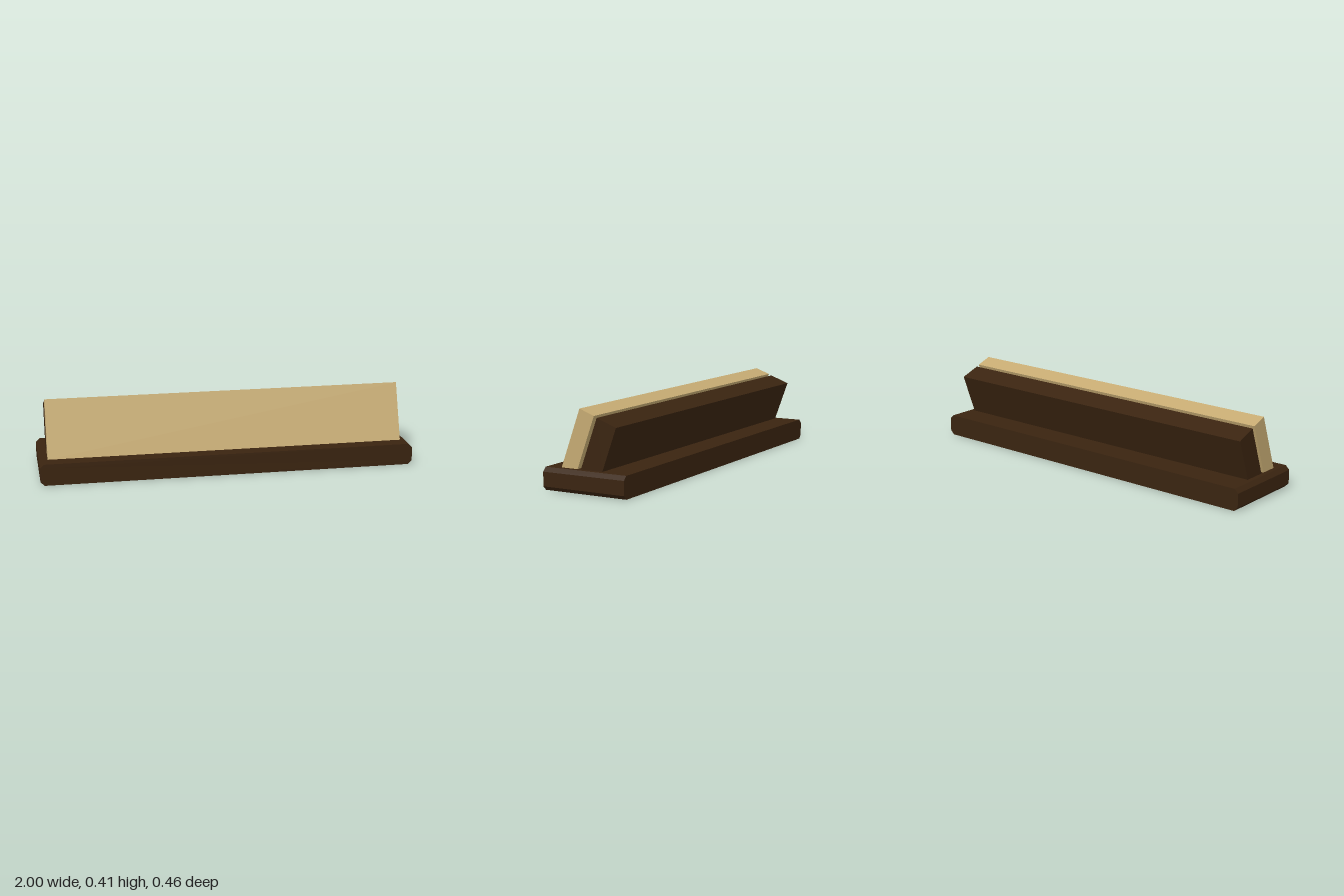
import * as THREE from 'three';

// Extrudes a polygon outline along z, centred on the origin.
function prism(points, depth) {
  const shape = new THREE.Shape(points.map(([x, y]) => new THREE.Vector2(x, y)));
  const geometry = new THREE.ExtrudeGeometry(shape, { depth, bevelEnabled: false });
  return geometry.translate(0, 0, -depth / 2);
}

export function createModel() {
  const model = new THREE.Group();
  const darkWood = new THREE.MeshStandardMaterial({ color: 0x3a2410 });
  darkWood.name = 'dark wood';
  const brass = new THREE.MeshStandardMaterial({ color: 0xc5aa72 });
  brass.name = 'pale brass';

  const add = (name, geometry, material) => {
    const mesh = new THREE.Mesh(geometry, material);
    mesh.name = name;
    model.add(mesh);
  };

  // Base board with chamfered ends
  const top = 0.115, c = 0.021;
  add('base', prism([
    [-1 + c, 0], [1 - c, 0], [1, c], [1, top - c],
    [1 - c, top], [-1 + c, top], [-1, top - c], [-1, c],
  ], 0.463), darkWood);

  // Slabs leaning back, cut level where they rest on the base; points are [z, y]
  const slab = (name, profile, material) => {
    const geometry = prism(profile.map(([z, y]) => [-z, y]), 1.91);
    add(name, geometry.rotateY(Math.PI / 2), material);
  };
  slab('namePlate', [[0.153, top], [0.045, 0.412], [-0.037, 0.382], [0.06, top]], brass);
  slab('backSupport', [[0.041, top], [-0.053, 0.374], [-0.161, 0.334], [-0.082, top]], darkWood);

  return model;
}
